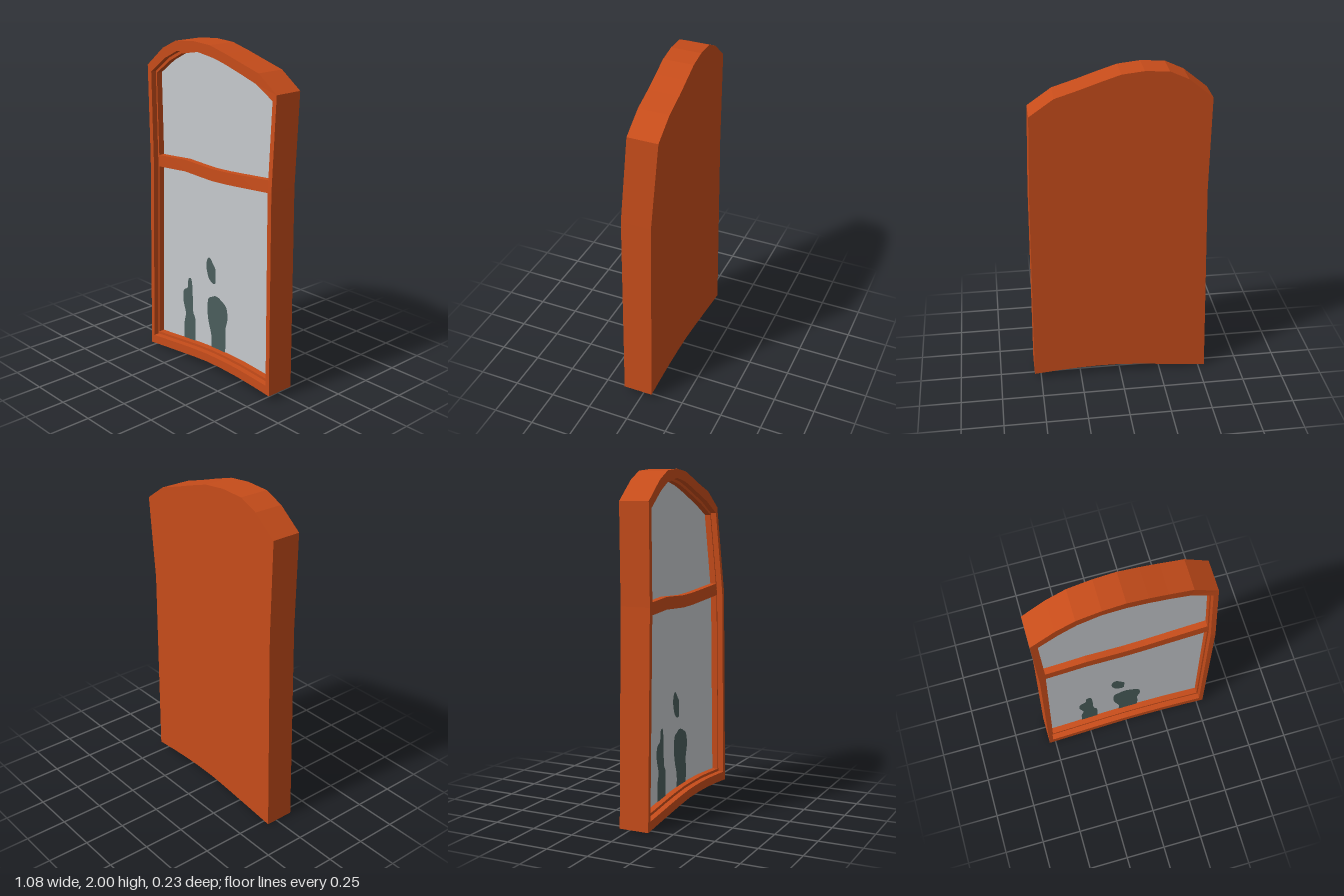
import * as THREE from 'three';

const frameMat = new THREE.MeshStandardMaterial({ color: 0xc64c1a });
frameMat.name = 'rust orange wood';
const glassMat = new THREE.MeshStandardMaterial({ color: 0xc5c9cd });
glassMat.name = 'pale grey glass';
const shadeMat = new THREE.MeshStandardMaterial({ color: 0x4a5e5c });
shadeMat.name = 'dark green silhouette';

// The upper right corner leans back
function lean(x, y) {
  const t = y < 1.25 ? 0.18 * Math.max(y, 0) / 1.25 : 0.18 + 0.82 * Math.min((y - 1.25) / 0.55, 1);
  return -0.055 * THREE.MathUtils.smoothstep(x, -0.55, 0.45) * t;
}
const warp = (x, y, z) => [x, y, z + lean(x, y)];

// Outlines: bottom and top edges from left to right, and the side points between them
const outer = {
  bottom: [[-0.54, 0], [-0.4, 0.016], [-0.27, 0.03], [-0.13, 0.045], [0, 0.056], [0.13, 0.058], [0.27, 0.054], [0.4, 0.045], [0.54, 0.032]],
  top: [[-0.52, 1.82], [-0.38, 1.935], [-0.27, 1.988], [-0.13, 2], [0, 1.99], [0.12, 1.955], [0.23, 1.92], [0.37, 1.878], [0.51, 1.78]],
  left: -0.511, right: 0.525,
};
const glass = {
  bottom: [[-0.504, 0.075], [-0.38, 0.088], [-0.26, 0.102], [-0.13, 0.115], [0, 0.124], [0.12, 0.126], [0.26, 0.124], [0.38, 0.116], [0.503, 0.107]],
  top: [[-0.479, 1.771], [-0.36, 1.859], [-0.26, 1.911], [-0.13, 1.934], [0, 1.912], [0.11, 1.881], [0.22, 1.844], [0.35, 1.798], [0.474, 1.734]],
  left: -0.47, right: 0.487,
};
// The step line lies a little outside the glass
const mixEdge = (a, b, t) => a.map((p, i) => p.map((v, k) => v + (b[i][k] - v) * t));
const step = {
  bottom: mixEdge(glass.bottom, outer.bottom, 0.23),
  top: mixEdge(glass.top, outer.top, 0.23),
  left: -0.481, right: 0.496,
};
const MID = 1.25;
const BACK = -0.065, FRONT = 0.115, SASH = 0.08, PANE = 0.042;

function makeGeometry(positions, index) {
  const g = new THREE.BufferGeometry();
  g.setAttribute('position', new THREE.Float32BufferAttribute(positions, 3));
  g.setIndex(index);
  return g;
}

function add(group, name, geometry, material) {
  const mesh = new THREE.Mesh(geometry, material);
  mesh.name = name;
  group.add(mesh);
}

// Joins a row of closed rings of [x, y, z] points into a flat-shaded skin
function loft(rings) {
  const n = rings[0].length, index = [];
  for (let r = 0; r < rings.length - 1; r++) {
    for (let i = 0; i < n; i++) {
      const a = r * n + i, b = r * n + (i + 1) % n, c = b + n, d = a + n;
      index.push(a, b, c, a, c, d);
    }
  }
  const g = makeGeometry(rings.flat(2), index).toNonIndexed();
  g.computeVertexNormals();
  return g;
}

const ring = (o, z) => [...o.bottom, [o.right, MID], ...[...o.top].reverse(), [o.left, MID]]
  .map(([x, y]) => warp(x, y, z));

// Fills an outline with three rows of points, evenly shaded like one flat sheet
function panel(o, z, facing) {
  const n = o.bottom.length, index = [];
  const middle = o.bottom.map((p, i) => [o.left + (o.right - o.left) * i / (n - 1), MID]);
  const points = [...o.bottom, ...middle, ...o.top].map(([x, y]) => warp(x, y, z));
  for (let r = 0; r < 2; r++) {
    for (let i = 0; i < n - 1; i++) {
      const a = r * n + i, b = a + 1, c = b + n, d = a + n;
      if (facing < 0) index.push(a, c, b, a, d, c);
      else index.push(a, b, c, a, c, d);
    }
  }
  const g = makeGeometry(points.flat(), index);
  g.setAttribute('normal', new THREE.Float32BufferAttribute(points.flatMap(() => [0, 0, facing]), 3));
  return g;
}

// Soft-edged flat figure lying just in front of the glass
function silhouette(points) {
  const [first, ...rest] = points.map(([x, y]) => new THREE.Vector2(x, y));
  const shape = new THREE.Shape().moveTo(first.x, first.y).splineThru(rest);
  const g = new THREE.ShapeGeometry(shape, 3);
  const p = g.attributes.position;
  for (let i = 0; i < p.count; i++) p.setXYZ(i, ...warp(p.getX(i), p.getY(i), PANE + 0.004));
  return g;
}

export function createModel() {
  const group = new THREE.Group();
  group.name = 'archedWindow';

  // Casing: outer sides, front rim, step, inner sash and its reveal
  add(group, 'frame', loft([
    ring(outer, BACK), ring(outer, FRONT),
    ring(step, FRONT), ring(step, SASH),
    ring(glass, SASH), ring(glass, PANE),
  ]), frameMat);
  add(group, 'backPanel', panel(outer, BACK, -1), frameMat);
  add(group, 'glass', panel(glass, PANE, 1), glassMat);

  // Wavy crossbar
  const bar = [[-0.474, 1.23], [-0.36, 1.238], [-0.23, 1.248], [-0.12, 1.243], [0, 1.238], [0.12, 1.242], [0.24, 1.25], [0.36, 1.259], [0.49, 1.269]];
  add(group, 'crossbar', loft(bar.map(([x, y]) =>
    [[1, PANE - 0.005], [1, SASH], [-1, SASH], [-1, PANE - 0.005]]
      .map(([s, z]) => warp(x, y + s * 0.036, z)))), frameMat);

  // Shadowy figures on the pane
  add(group, 'smallFigure', silhouette([
    [-0.185, 0.106], [-0.183, 0.25], [-0.205, 0.3], [-0.208, 0.4], [-0.215, 0.5], [-0.233, 0.52],
    [-0.25, 0.5], [-0.255, 0.45], [-0.293, 0.42], [-0.298, 0.35], [-0.275, 0.27], [-0.29, 0.2], [-0.29, 0.097],
  ]), shadeMat);
  add(group, 'largeFigureBody', silhouette([
    [0.09, 0.125], [0.095, 0.2], [0.092, 0.28], [0.11, 0.35], [0.1, 0.42], [0.06, 0.452],
    [0.01, 0.47], [-0.03, 0.455], [-0.064, 0.43], [-0.07, 0.35], [-0.06, 0.28], [-0.035, 0.2], [-0.036, 0.122],
  ]), shadeMat);
  add(group, 'largeFigureHead', silhouette([
    [0, 0.55], [0.003, 0.635], [-0.02, 0.67], [-0.048, 0.703], [-0.07, 0.69],
    [-0.08, 0.64], [-0.06, 0.572], [-0.025, 0.545], [-0.004, 0.546],
  ]), shadeMat);

  return group;
}
